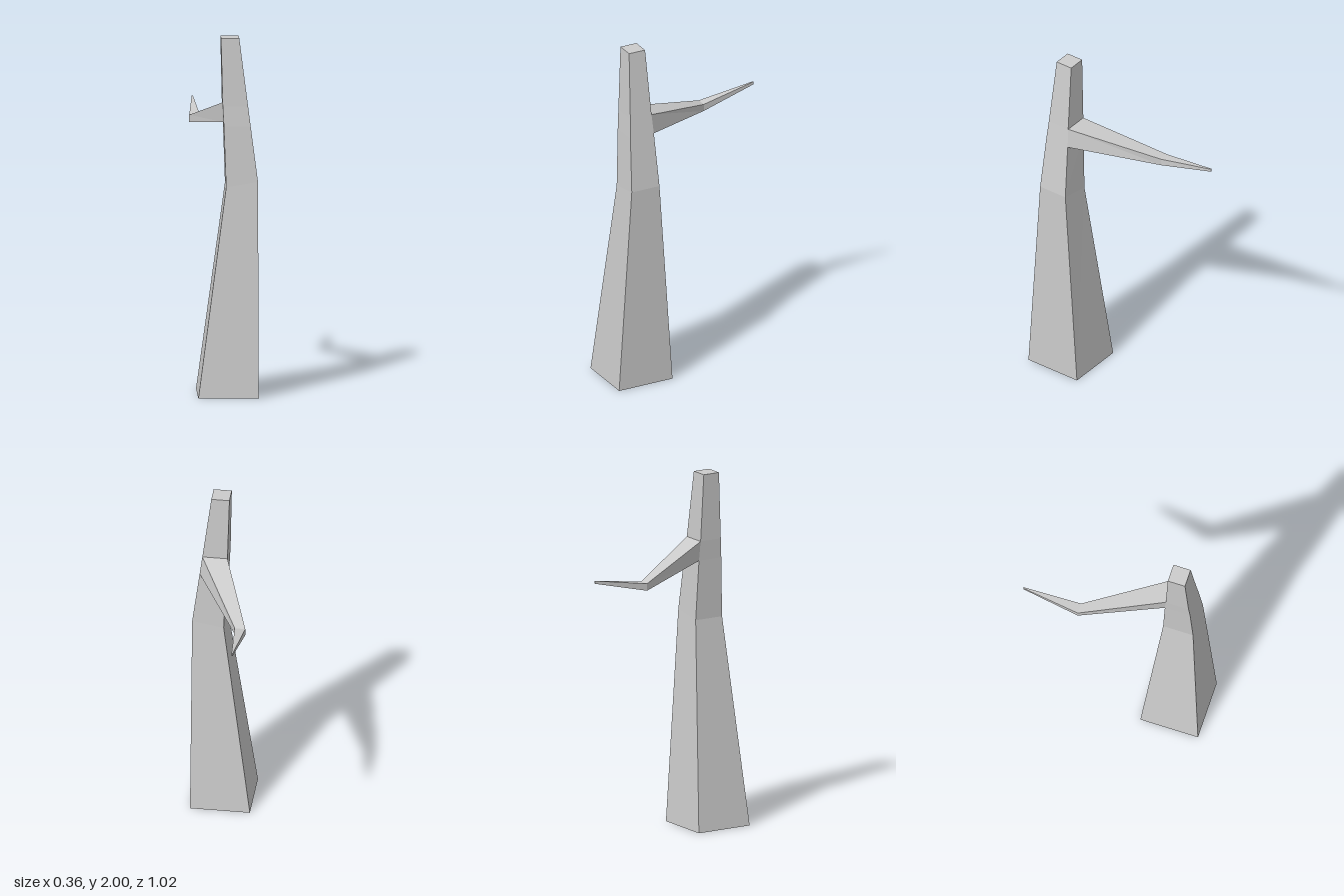
import * as THREE from 'three';

// Skin a sequence of four-cornered loops, each counter-clockwise seen from the far end
function loft(loops, capStart) {
  const pos = [];
  const quad = (a, b, c, d) => pos.push(...a, ...b, ...c, ...a, ...c, ...d);
  for (let r = 0; r < loops.length - 1; r++) {
    const lo = loops[r], hi = loops[r + 1];
    for (let i = 0; i < 4; i++) {
      const j = (i + 1) % 4;
      quad(lo[i], lo[j], hi[j], hi[i]);
    }
  }
  if (capStart) quad(...[...loops[0]].reverse());
  quad(...loops[loops.length - 1]);
  const g = new THREE.BufferGeometry();
  g.setAttribute('position', new THREE.Float32BufferAttribute(pos, 3));
  g.computeVertexNormals();
  return g;
}

// Horizontal trunk section
const ring = (yLeft, yRight, x0, x1, z0, z1) => [
  [x0, yLeft, z1], [x1, yRight, z1], [x1, yRight, z0], [x0, yLeft, z0],
];

// Upright branch section facing the back
const section = (z, y0, y1, x0, x1) => [
  [x1, y0, z], [x0, y0, z], [x0, y1, z], [x1, y1, z],
];

export function createModel() {
  const tree = new THREE.Group();
  tree.name = 'bareTree';
  const material = new THREE.MeshStandardMaterial({ color: 0xcccccc, flatShading: true });

  // Tapering, bent trunk
  const low = ring(1.51, 1.51, -0.012, 0.136, 0.27, 0.417);
  const high = ring(1.62, 1.62, -0.018, 0.122, 0.277, 0.41);
  const trunk = new THREE.Mesh(loft([
    ring(0, 0, -0.157, 0.177, 0.175, 0.51),
    ring(1.17, 1.2, 0, 0.176, 0.256, 0.43),
    low,
    high,
    ring(2, 2, -0.027, 0.074, 0.292, 0.392),
  ], true), material);
  trunk.name = 'trunk';

  // Crooked branch growing from the back of the trunk
  const root = [low[2], low[3], high[3], high[2]];
  const branch = new THREE.Mesh(loft([
    root,
    section(-0.182, 1.435, 1.475, -0.18, -0.121),
    section(-0.508, 1.513, 1.529, -0.153, -0.147),
  ], false), material);
  branch.name = 'branch';

  tree.add(trunk, branch);
  return tree;
}
